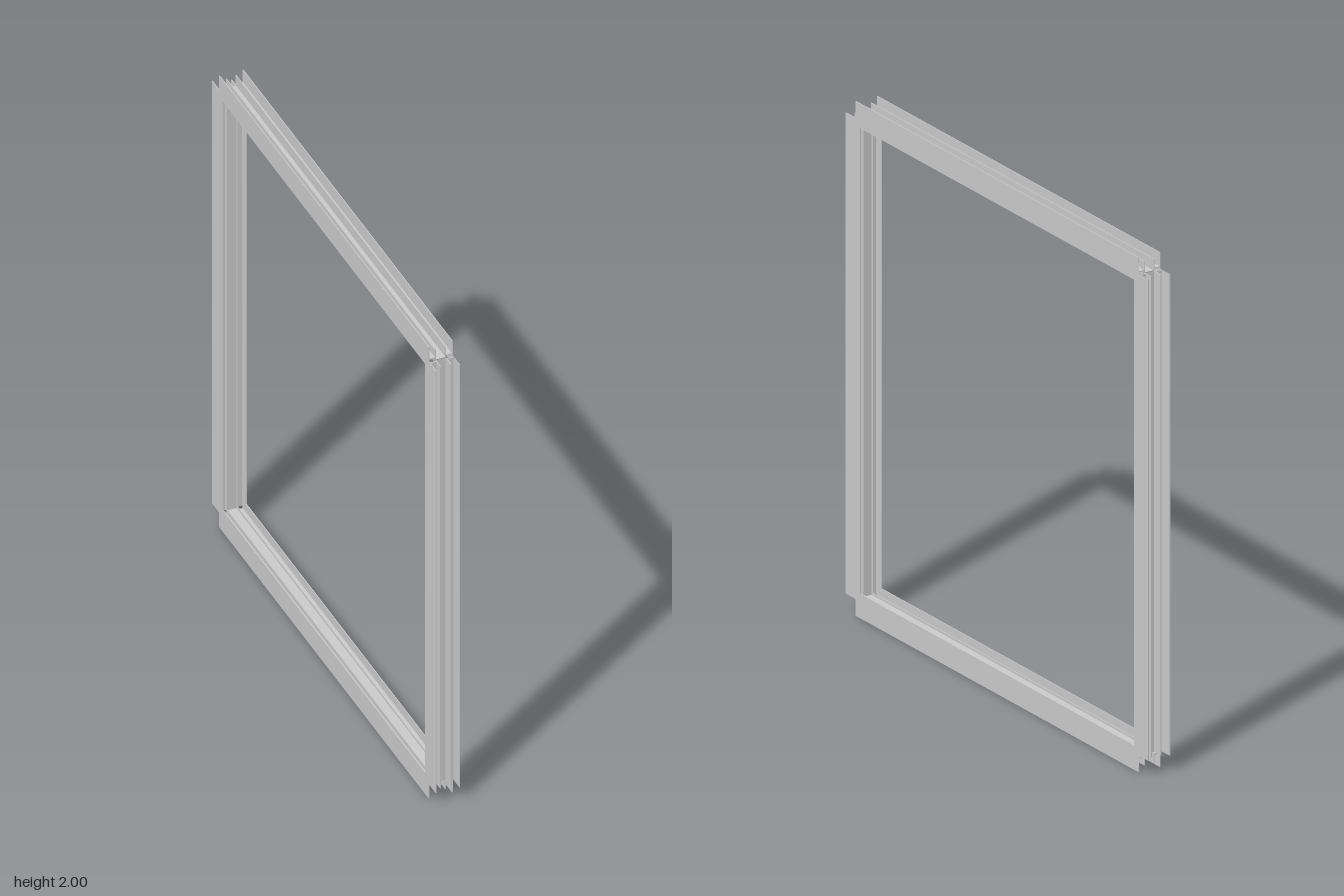
import * as THREE from 'three';

// Half of the rail's cross-section: [distance across, distance from frame centre]
const HALF = [
  [0.019, 0.936], [0.019, 0.98], [0.022, 0.98], [0.022, 0.946], // centre web, outer fin
  [0.045, 0.946], [0.045, 1], [0.048, 1], [0.048, 0.935], // side web, face plate
  [0.048, 0.905], [0.045, 0.905], [0.045, 0.935], [0.045, 0.942],
  [0.022, 0.942], [0.022, 0.922], [0.019, 0.922], [0.019, 0.932], // inner lip
];
const NOTCH = 0.935; // rails are mitred up to here, then cut square

function railGeometry() {
  const points = [
    ...HALF.map(([x, d]) => new THREE.Vector2(x, d)),
    ...HALF.map(([x, d]) => new THREE.Vector2(-x, d)).reverse(),
  ];
  const geometry = new THREE.ExtrudeGeometry(new THREE.Shape(points), { depth: 1, bevelEnabled: false });
  // Slide both ends to the mitre or to the square notch
  const pos = geometry.attributes.position;
  for (let i = 0; i < pos.count; i++) {
    const end = Math.min(pos.getY(i), NOTCH);
    pos.setZ(i, pos.getZ(i) > 0.5 ? end : -end);
  }
  geometry.computeVertexNormals();
  return geometry;
}

export function createModel() {
  const group = new THREE.Group();
  group.name = 'windowFrame';
  const material = new THREE.MeshStandardMaterial({ color: 0xcccccc, flatShading: true, side: THREE.DoubleSide });
  const geometry = railGeometry();

  // The same rail, turned a quarter for each side of the frame
  ['topRail', 'frontStile', 'bottomRail', 'backStile'].forEach((name, i) => {
    const rail = new THREE.Mesh(geometry, material);
    rail.name = name;
    rail.rotation.x = (i * Math.PI) / 2;
    rail.position.y = 1;
    group.add(rail);
  });
  return group;
}
